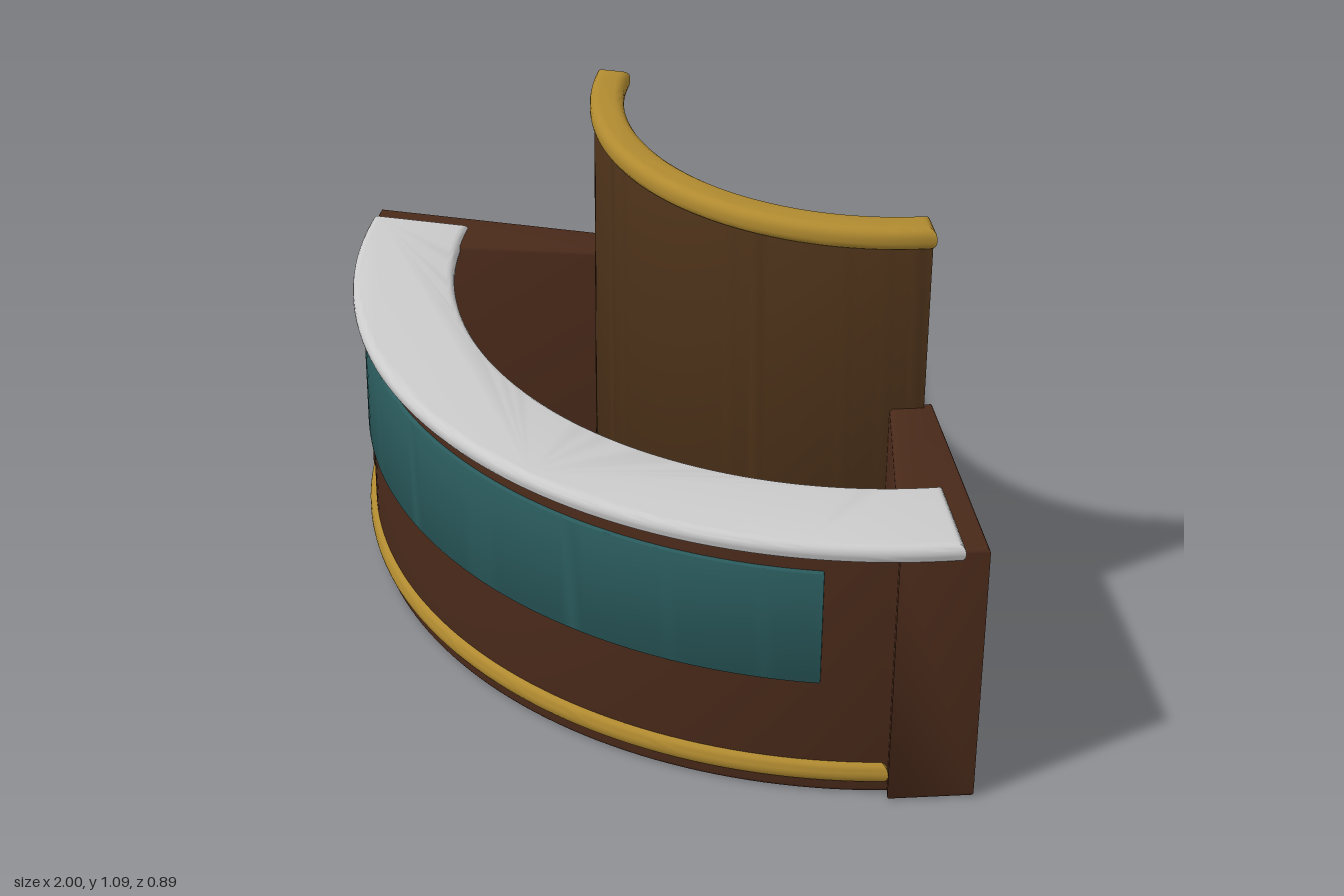
import * as THREE from 'three';
import { toCreasedNormals } from 'three/addons/utils/BufferGeometryUtils.js';

const material = (color) => new THREE.MeshStandardMaterial({ color });
const wood = material(0x4a2a1a);
const wallWood = material(0x4a3018);
const gold = material(0xb08a30);
const teal = material(0x2a5a5c);
const stone = material(0xcccccc);

// Extrudes a plan outline of [x, z] points from y0 to y1 with rounded edges.
function slab(name, plan, y0, y1, bevel, mat) {
  const shape = new THREE.Shape(plan.map(([x, z]) => new THREE.Vector2(x, -z)));
  const geometry = new THREE.ExtrudeGeometry(shape, {
    depth: y1 - y0 - 2 * bevel,
    bevelEnabled: true,
    bevelThickness: bevel,
    bevelSize: bevel,
    bevelOffset: -bevel,
    bevelSegments: 4,
  });
  geometry.rotateX(-Math.PI / 2);
  geometry.translate(0, y0 + bevel, 0);
  const mesh = new THREE.Mesh(toCreasedNormals(geometry, 0.6), mat);
  mesh.name = name;
  return mesh;
}

// Plan outline of a ring sector that bulges toward the front.
function arcPlan(centreZ, inner, outer, degrees, steps = 56) {
  const half = THREE.MathUtils.degToRad(degrees);
  const point = (r, t) => [r * Math.sin(t), centreZ + r * Math.cos(t)];
  const outside = [], inside = [];
  for (let i = 0; i <= steps; i++) {
    const t = -half + (2 * half * i) / steps;
    outside.push(point(outer, t));
    inside.unshift(point(inner, t));
  }
  return [...outside, ...inside];
}

export function createModel() {
  const model = new THREE.Group();
  model.name = 'curvedCounter';
  const counterZ = -0.744;
  const wallZ = -0.785;

  // Curved counter: body, inset-coloured band, foot rail and worktop
  model.add(
    slab('counterBody', arcPlan(counterZ, 0.968, 1.155, 49.5), 0, 0.63, 0.012, wood),
    slab('counterBand', arcPlan(counterZ, 0.958, 1.165, 41), 0.29, 0.572, 0.005, teal),
    slab('footRail', arcPlan(counterZ, 0.953, 1.17, 48.5), 0.03, 0.083, 0.022, gold),
    slab('worktop', arcPlan(counterZ, 0.95, 1.187, 55), 0.612, 0.655, 0.018, stone),
  );

  // Tall curved back wall with a rounded cap
  model.add(
    slab('backWall', arcPlan(wallZ, 0.6, 0.65, 54.5), 0, 1.06, 0.005, wallWood),
    slab('backWallCap', arcPlan(wallZ, 0.582, 0.66, 55), 1.035, 1.09, 0.022, gold),
  );

  // Tapered side panels joining the counter ends to the back wall
  for (const [name, side] of [['leftPanel', 1], ['rightPanel', -1]]) {
    const plan = [[1, -0.107], [0.885, 0.04], [0.47, -0.36], [0.525, -0.438]];
    model.add(slab(name, plan.map(([x, z]) => [side * x, z]), 0, 0.642, 0.01, wood));
  }
  return model;
}
